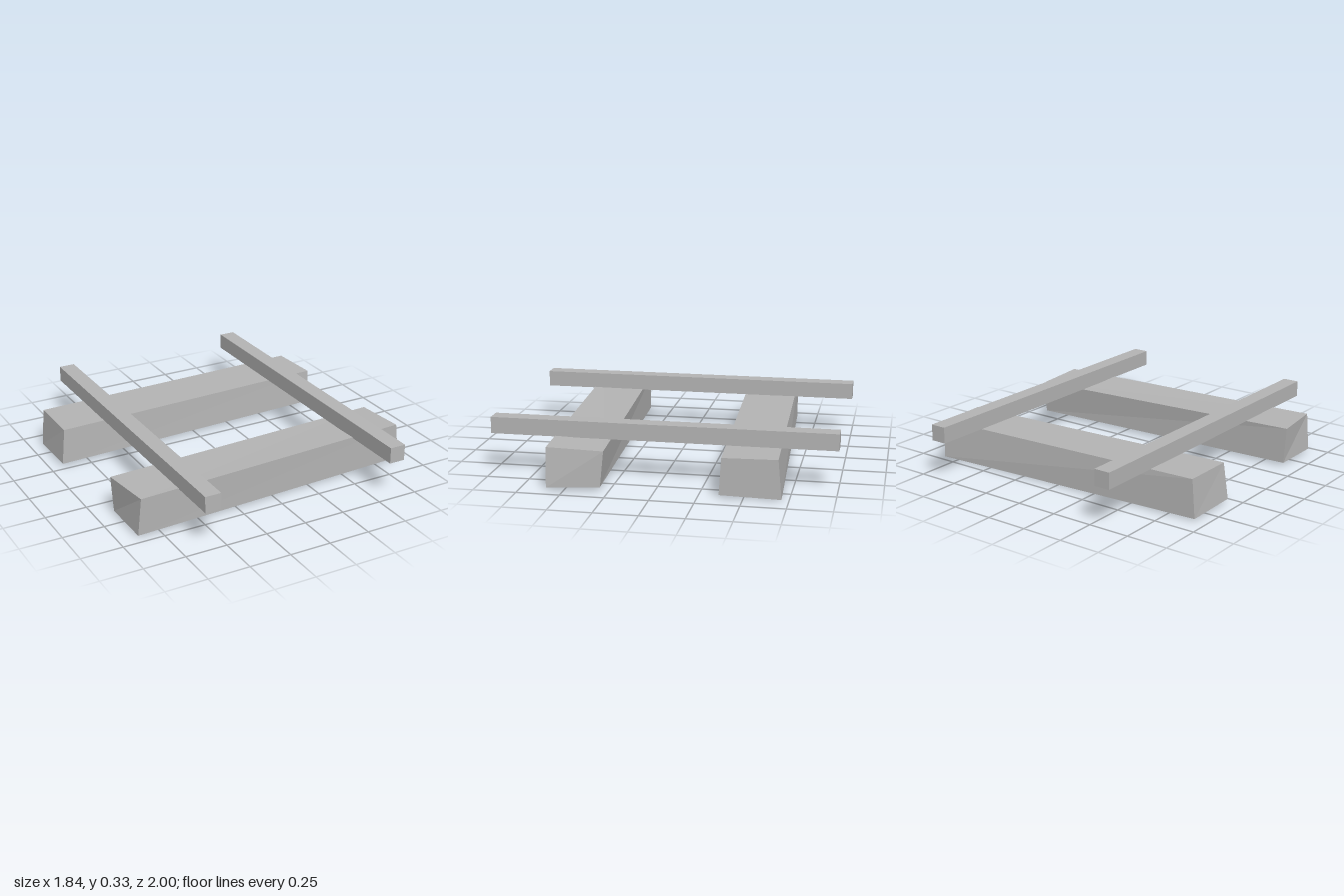
import * as THREE from 'three';

const concrete = new THREE.MeshStandardMaterial({ color: 0xb4b4b4, flatShading: true });
concrete.name = 'grey';

// Box whose corners are moved to the given points.
// Order: bottom then top, each back-left, back-right, front-right, front-left.
function block(name, corners) {
  const geometry = new THREE.BoxGeometry(1, 1, 1);
  const pos = geometry.attributes.position;
  for (let i = 0; i < pos.count; i++) {
    const right = pos.getX(i) > 0, top = pos.getY(i) > 0, front = pos.getZ(i) > 0;
    const index = (top ? 4 : 0) + (front ? (right ? 2 : 3) : (right ? 1 : 0));
    pos.setXYZ(i, ...corners[index]);
  }
  geometry.computeVertexNormals();
  const mesh = new THREE.Mesh(geometry, concrete);
  mesh.name = name;
  return mesh;
}

export function createModel() {
  const group = new THREE.Group();
  group.name = 'beamsAndRails';

  // Two rough-hewn, slightly skewed beams lying on the ground
  group.add(block('frontBeam', [
    [-0.89, 0.016, 0.39], [0.885, 0.02, 0.30], [0.917, 0.01, 0.602], [-0.888, 0.014, 0.703],
    [-0.905, 0.236, 0.39], [0.877, 0.226, 0.28], [0.888, 0.237, 0.605], [-0.867, 0.237, 0.707],
  ]));
  group.add(block('backBeam', [
    [-0.92, 0.008, -0.619], [0.858, 0, -0.708], [0.876, 0.013, -0.365], [-0.922, 0.016, -0.286],
    [-0.902, 0.236, -0.619], [0.86, 0.226, -0.688], [0.878, 0.226, -0.378], [-0.897, 0.232, -0.298],
  ]));

  // Two straight rails laid across the beams
  for (const [name, x] of [['rightRail', -0.583], ['leftRail', 0.608]]) {
    const rail = new THREE.Mesh(new THREE.BoxGeometry(0.097, 0.097, 2), concrete);
    rail.position.set(x, 0.281, 0);
    rail.name = name;
    group.add(rail);
  }
  return group;
}
